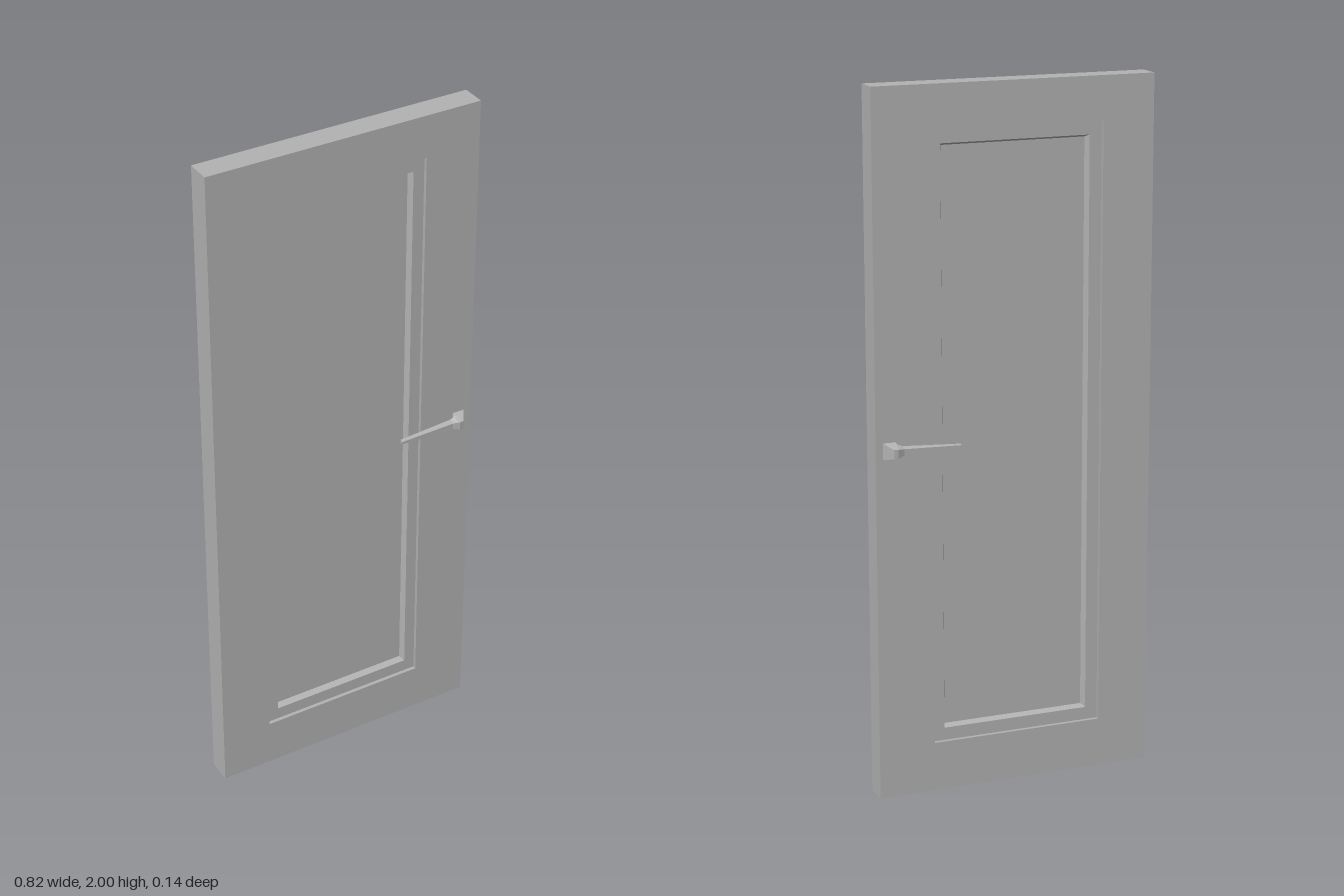
import * as THREE from 'three';

// Skins a list of four-cornered rings and caps both ends; faces stay flat.
function loft(rings) {
  const p = [];
  const quad = (a, b, c, d) => p.push(...a, ...b, ...c, ...a, ...c, ...d);
  for (let r = 0; r < rings.length - 1; r++) {
    const a = rings[r], b = rings[r + 1];
    for (let i = 0; i < 4; i++) {
      const j = (i + 1) % 4;
      quad(a[i], a[j], b[j], b[i]);
    }
  }
  quad(...[...rings[0]].reverse());
  quad(...rings[rings.length - 1]);
  const g = new THREE.BufferGeometry();
  g.setAttribute('position', new THREE.Float32BufferAttribute(p, 3));
  g.computeVertexNormals();
  return g;
}

// Mirrors rings from front to back, keeping the faces outward.
const mirrorZ = (rings) =>
  rings.map((ring) => ring.map(([x, y, z]) => [x, y, -z])).reverse();

const rect = (x0, x1, y0, y1, z) => [[x0, y0, z], [x1, y0, z], [x1, y1, z], [x0, y1, z]];

// Handle section: inner edge and outer edge, each with its own height range.
const section = (xi, zi, ylo, yhi, xo, zo, olo, ohi) =>
  [[xi, ylo, zi], [xo, olo, zo], [xo, ohi, zo], [xi, yhi, zi]];

export function createModel() {
  const group = new THREE.Group();
  const grey = new THREE.MeshStandardMaterial({ color: 0xb2b2b2 });
  grey.name = 'grey';

  const add = (name, geometry) => {
    const mesh = new THREE.Mesh(geometry, grey);
    mesh.name = name;
    group.add(mesh);
  };

  // Door slab: stepped recess with a sloped rim, the same on both faces
  const face = [
    rect(-0.408, 0.408, 0, 2, 0.036),
    rect(-0.258, 0.244, 0.143, 1.875, 0.036),
    rect(-0.258, 0.244, 0.143, 1.875, 0.025),
    rect(-0.222, 0.211, 0.18, 1.839, 0.025),
    rect(-0.214, 0.204, 0.187, 1.832, 0.007),
  ];
  add('doorSlab', loft([...mirrorZ(face), ...face]));

  // Lever handles: flared base, bent neck and tapering grip
  const lever = [
    section(0.35, 0.034, 0.986, 1.034, 0.388, 0.034, 0.986, 1.034),
    section(0.35, 0.042, 0.99, 1.031, 0.366, 0.069, 0.995, 1.021),
    section(0.345, 0.046, 0.994, 1.028, 0.354, 0.07, 0.996, 1.021),
    section(0.335, 0.048, 1.0, 1.024, 0.335, 0.063, 1.001, 1.019),
    section(0.168, 0.051, 1.004, 1.015, 0.168, 0.061, 1.005, 1.013),
  ];
  add('frontHandle', loft(lever));
  add('backHandle', loft(mirrorZ(lever)));

  return group;
}
